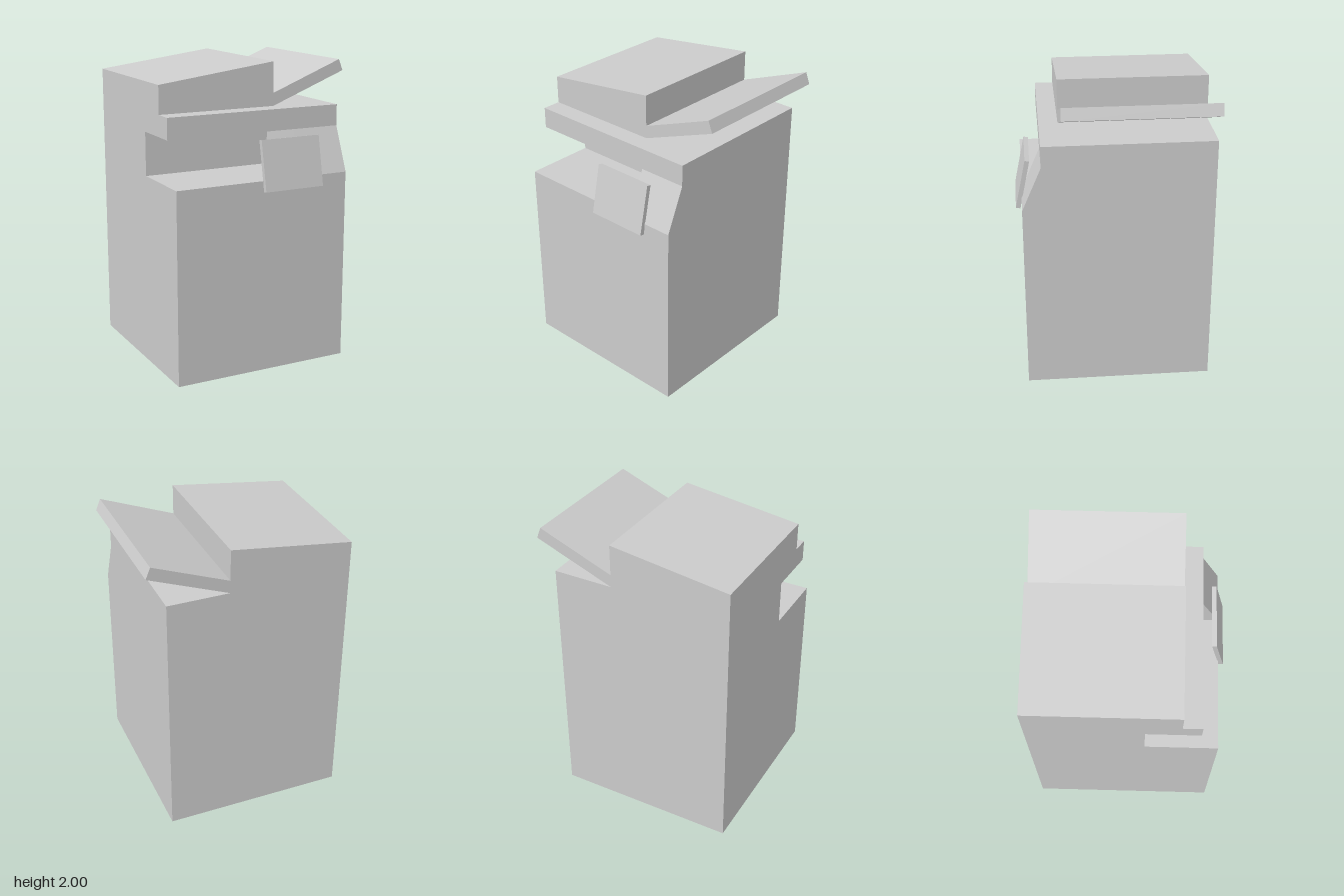
import * as THREE from 'three';

const lightGrey = new THREE.MeshStandardMaterial({ color: 0xcccccc, side: THREE.DoubleSide });
lightGrey.name = 'lightGrey';

const LEFT = 0.55, RIGHT = -0.67, SLOT_END = 0.22;
const FRONT = 0.595, BACK = -0.635;

function add(group, name, geometry) {
  const mesh = new THREE.Mesh(geometry, lightGrey);
  mesh.name = name;
  group.add(mesh);
  return mesh;
}

// Sweeps an open [z, y] profile along x, one flat quad per segment
function sweep(profile, x0, x1) {
  const pos = [];
  for (let i = 0; i < profile.length - 1; i++) {
    const [pz, py] = profile[i], [qz, qy] = profile[i + 1];
    pos.push(x0, py, pz, x1, py, pz, x1, qy, qz);
    pos.push(x0, py, pz, x1, qy, qz, x0, qy, qz);
  }
  const g = new THREE.BufferGeometry();
  g.setAttribute('position', new THREE.Float32BufferAttribute(pos, 3));
  g.computeVertexNormals();
  return g;
}

// Flat side wall from a [z, y] outline; facing is +1 for +x, -1 for -x
function wall(outline, x, facing) {
  const shape = new THREE.Shape(outline.map(([z, y]) => new THREE.Vector2(-facing * z, y)));
  return new THREE.ShapeGeometry(shape).rotateY(facing * Math.PI / 2).translate(x, 0, 0);
}

export function createModel() {
  const model = new THREE.Group();
  model.name = 'photocopier';

  // Cabinet shell, open underneath: sloped front on one part, output slot on the other
  const cabinet = new THREE.Group();
  cabinet.name = 'cabinet';
  model.add(cabinet);
  const upper = [[0.47, 1.57], [0.47, 1.71], [BACK, 1.71], [BACK, 0]];
  const sloped = [[FRONT, 0], [FRONT, 1.28], ...upper];
  const slotted = [[FRONT, 0], [FRONT, 1.28], [0.12, 1.28], [0.12, 1.57], ...upper];
  add(cabinet, 'slopedShell', sweep(sloped, SLOT_END, LEFT));
  add(cabinet, 'slottedShell', sweep(slotted, RIGHT, SLOT_END));
  add(cabinet, 'slopedSide', wall(sloped, LEFT, 1));
  add(cabinet, 'slottedSide', wall(slotted, RIGHT, -1));
  add(cabinet, 'slotEnd', wall([[FRONT, 1.28], [0.47, 1.57], [0.12, 1.57], [0.12, 1.28]], SLOT_END, -1));

  // Document feeder with its raised paper tray
  const feeder = new THREE.Shape([
    [RIGHT, 1.71], [0.14, 1.71], [0.67, 1.915], [0.64, 1.99],
    [0.14, 1.795], [0.14, 2], [RIGHT, 1.895],
  ].map(([x, y]) => new THREE.Vector2(x, y)));
  add(model, 'documentFeeder',
    new THREE.ExtrudeGeometry(feeder, { depth: 0.98, bevelEnabled: false }).translate(0, 0, BACK));

  // Tilted control panel
  const panel = add(model, 'controlPanel', new THREE.BoxGeometry(0.42, 0.332, 0.03));
  panel.position.set(0.1425, 1.373, 0.586);
  panel.rotation.x = -0.203;

  return model;
}
